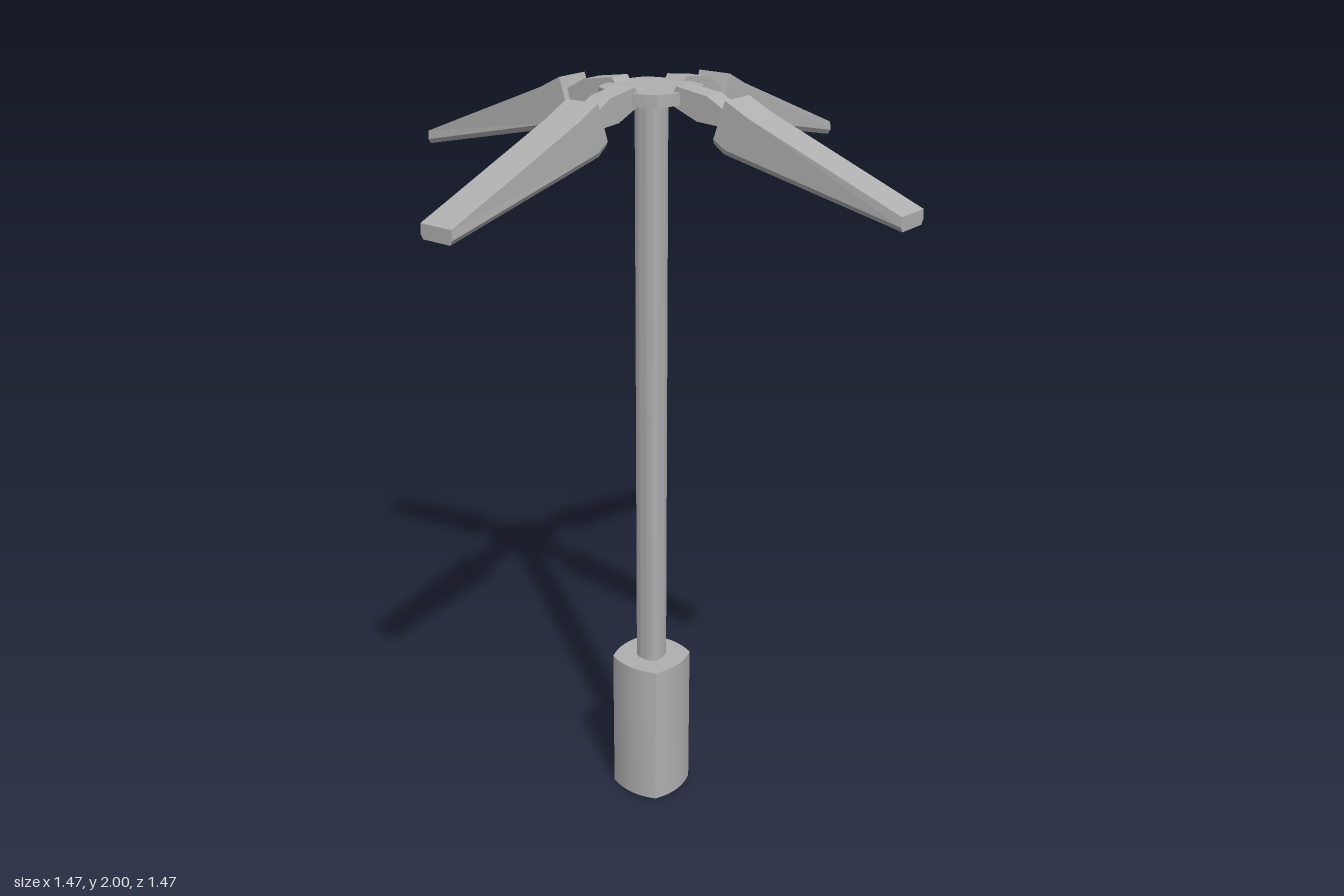
import * as THREE from 'three';
import { toCreasedNormals } from 'three/addons/utils/BufferGeometryUtils.js';

// Four-sided outline with bulging sides; r is the half width at the middle of a side
function bulgedSquare(r) {
  const c = r * 0.81, k = r * 1.19;
  const s = new THREE.Shape();
  s.moveTo(c, -c);
  s.quadraticCurveTo(k, 0, c, c);
  s.quadraticCurveTo(0, k, -c, c);
  s.quadraticCurveTo(-k, 0, -c, -c);
  s.quadraticCurveTo(0, -k, c, -c);
  return s;
}

// Upright prism from y0 to y1, optionally without its bottom face
function column(r, y0, y1, openBottom = false) {
  let g = new THREE.ExtrudeGeometry(bulgedSquare(r), { depth: y1 - y0, bevelEnabled: false, curveSegments: 8 });
  g.rotateX(-Math.PI / 2).translate(0, y0, 0);
  if (openBottom) {
    const p = g.attributes.position, kept = [];
    for (let i = 0; i < p.count; i += 3) {
      if (Math.max(p.getY(i), p.getY(i + 1), p.getY(i + 2)) < y0 + 1e-4) continue;
      for (let j = i; j < i + 3; j++) kept.push(p.getX(j), p.getY(j), p.getZ(j));
    }
    g = new THREE.BufferGeometry();
    g.setAttribute('position', new THREE.Float32BufferAttribute(kept, 3));
  }
  g.clearGroups();
  return toCreasedNormals(g, 0.4);
}

// Tapering lamp head pointing along +x, with a bevelled underside
function lampGeometry() {
  // top x, top y, bottom x, bottom y, half width
  const stations = [
    [0.255, 1.987, 0.22, 1.883, 0.05],
    [0.32, 1.955, 0.25, 1.862, 0.05],
    [0.735, 1.792, 0.735, 1.757, 0.049],
  ];
  const pos = [], idx = [];
  for (const [tx, ty, bx, by, w] of stations) {
    const lx = bx + (tx - bx) * 0.12, ly = by + 0.012;
    pos.push(bx, by, -w + 0.008, lx, ly, -w, tx, ty, -w + 0.002);
    pos.push(tx, ty, w - 0.002, lx, ly, w, bx, by, w - 0.008);
  }
  for (let i = 0; i < stations.length - 1; i++) {
    for (let j = 0; j < 6; j++) {
      const a = i * 6 + j, b = i * 6 + (j + 1) % 6;
      idx.push(a, b, b + 6, a, b + 6, a + 6);
    }
  }
  const e = (stations.length - 1) * 6;
  for (let j = 1; j < 5; j++) idx.push(0, j + 1, j, e, e + j, e + j + 1);
  const g = new THREE.BufferGeometry();
  g.setAttribute('position', new THREE.Float32BufferAttribute(pos, 3));
  g.setIndex(idx);
  const flat = g.toNonIndexed();
  flat.computeVertexNormals();
  return flat;
}

// Bent bracket between hub and lamp
function bracketGeometry() {
  const side = new THREE.Shape([
    [0.085, 1.955], [0.16, 1.925], [0.25, 1.92], [0.25, 1.955], [0.19, 1.987], [0.1, 2.0], [0.085, 1.98],
  ].map(([x, y]) => new THREE.Vector2(x, y)));
  return new THREE.ExtrudeGeometry(side, { depth: 0.06, bevelEnabled: false }).translate(0, 0, -0.03);
}

export function createModel() {
  const model = new THREE.Group();
  model.name = 'streetLamp';
  const grey = new THREE.MeshStandardMaterial({ color: 0xb0b0b0, side: THREE.DoubleSide });
  grey.name = 'grey';

  const add = (parent, name, geometry) => {
    const mesh = new THREE.Mesh(geometry, grey);
    mesh.name = name;
    parent.add(mesh);
  };

  add(model, 'base', column(0.094, 0, 0.412, true));
  add(model, 'pole', column(0.036, 0.405, 1.96));
  add(model, 'hub', column(0.113, 1.957, 1.987));

  // Four identical arms around the hub
  const bracket = bracketGeometry(), lamp = lampGeometry();
  for (let i = 0; i < 4; i++) {
    const arm = new THREE.Group();
    arm.name = 'arm' + (i + 1);
    arm.rotation.y = i * Math.PI / 2;
    add(arm, 'bracket', bracket);
    add(arm, 'lampHead', lamp);
    model.add(arm);
  }
  return model;
}
